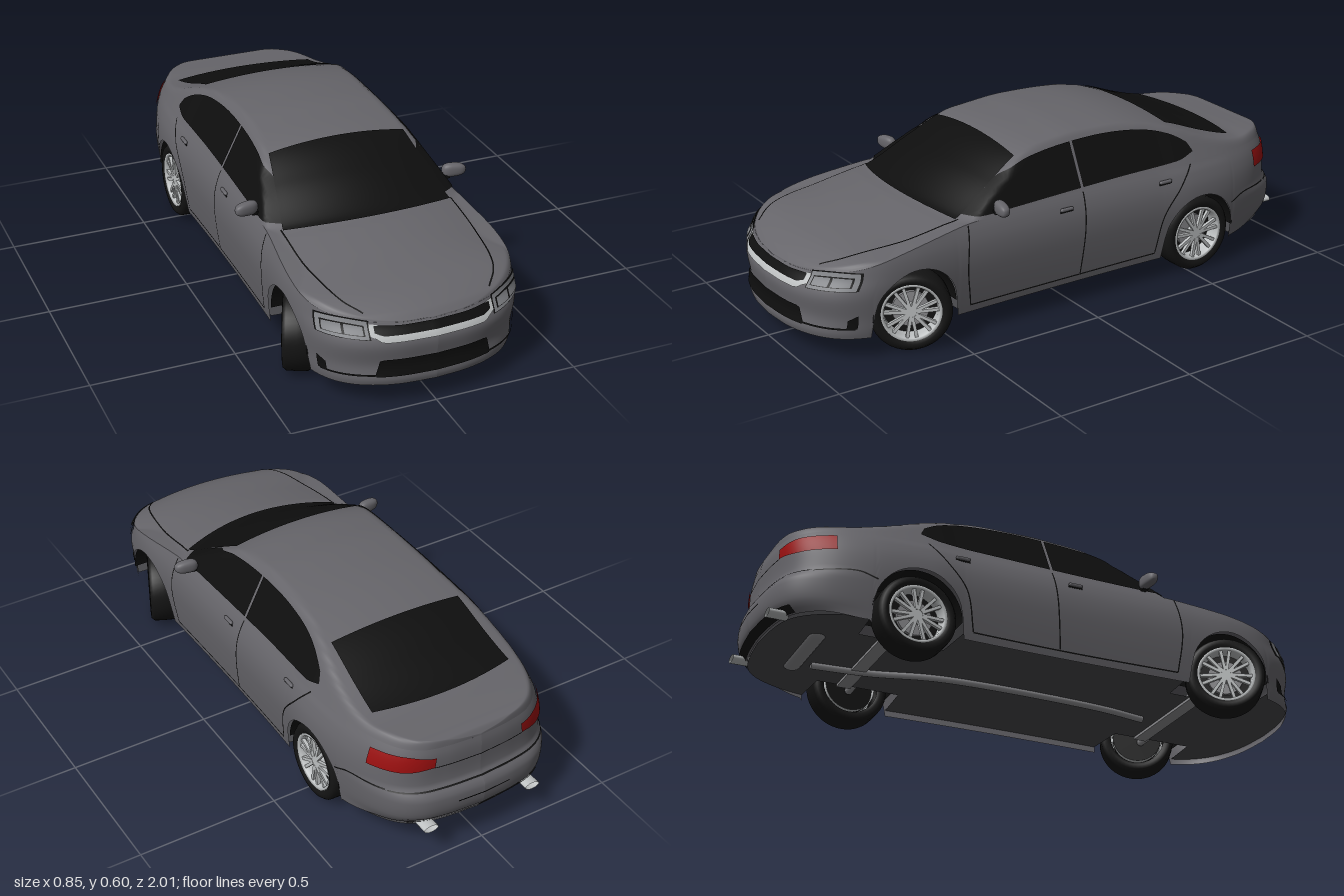
import * as THREE from 'three';

const paint = (name, color) => Object.assign(new THREE.MeshStandardMaterial({ color, side: THREE.DoubleSide }), { name });
const M = {
  body: paint('grey body paint', 0x66656a),
  black: paint('black glass and trim', 0x0e0e0e),
  tyre: paint('tyre rubber', 0x141414),
  silver: paint('silver alloy', 0xbfc2c3),
  lens: paint('headlamp lens', 0x85878b),
  red: paint('red tail lamp', 0x990f0f),
  under: paint('underbody grey', 0x48484b),
  metal: paint('chassis metal', 0x8d8d90),
};

// Smooth interpolation through [x, y] pairs sorted by x
const curve = (p) => {
  const n = p.length - 1;
  const slope = (i) => {
    const a = p[Math.max(0, i - 1)], b = p[Math.min(n, i + 1)];
    return (b[1] - a[1]) / (b[0] - a[0]);
  };
  return (x) => {
    if (x <= p[0][0]) return p[0][1];
    if (x >= p[n][0]) return p[n][1];
    let i = 0;
    while (x > p[i + 1][0]) i++;
    const d = p[i + 1][0] - p[i][0], t = (x - p[i][0]) / d, t2 = t * t, t3 = t2 * t;
    return (2 * t3 - 3 * t2 + 1) * p[i][1] + (t3 - 2 * t2 + t) * d * slope(i)
      + (3 * t2 - 2 * t3) * p[i + 1][1] + (t3 - t2) * d * slope(i + 1);
  };
};
const smooth = (t) => THREE.MathUtils.smoothstep(t, 0, 1);
const lerp = THREE.MathUtils.lerp;

// Plan outline of one half, nose to tail (x, z)
const plan = new THREE.CatmullRomCurve3([[0, 1], [0.12, 0.99], [0.2, 0.97], [0.265, 0.94], [0.315, 0.9], [0.35, 0.85],
  [0.375, 0.78], [0.388, 0.65], [0.381, 0.45], [0.375, 0], [0.38, -0.35], [0.388, -0.5], [0.37, -0.7], [0.33, -0.85],
  [0.28, -0.93], [0.22, -0.97], [0.13, -0.99], [0, -1]].map(([x, z]) => new THREE.Vector3(x, 0, z)))
  .getSpacedPoints(260);
const planX = curve(plan.map((p) => [p.z, p.x]).reverse());
const noseZ = curve(plan.filter((p) => p.z > 0.7).map((p) => [p.x, p.z]));
const tailZ = curve(plan.filter((p) => p.z < -0.6).map((p) => [p.x, p.z]).reverse());

// Shape rules: width by height, nose and tail set-back by height, shoulder and centre lines by length
const widthAt = curve([[0.07, 0.945], [0.12, 0.965], [0.2, 0.99], [0.27, 1], [0.33, 0.985], [0.38, 0.945], [0.41, 0.905], [0.44, 0.87]]);
const noseIn = curve([[0.08, 0.005], [0.1, 0], [0.15, 0.008], [0.22, 0], [0.25, 0.008], [0.295, 0.034], [0.4, 0.05]]);
const tailIn = curve([[0.11, 0.04], [0.15, 0.006], [0.235, 0.004], [0.258, 0.028], [0.38, 0.033], [0.43, 0.045]]);
const shoulderAt = curve([[-1, 0.405], [-0.93, 0.408], [-0.8, 0.412], [-0.5, 0.415], [0, 0.405], [0.4, 0.395], [0.5, 0.385],
  [0.7, 0.355], [0.85, 0.325], [0.95, 0.303], [1, 0.288]]);
const centreAt = curve([[-0.965, 0.405], [-0.945, 0.43], [-0.9, 0.436], [-0.85, 0.44], [-0.76, 0.45], [-0.61, 0.5],
  [-0.45, 0.557], [-0.29, 0.59], [-0.1, 0.6], [0, 0.596], [0.17, 0.572], [0.33, 0.503], [0.48, 0.424], [0.55, 0.412],
  [0.68, 0.39], [0.855, 0.352], [0.94, 0.315], [0.97, 0.288]]);
const FRONT = 0.64, REAR = -0.535, ARCH = 0.155, R = 0.137;
const sillAt = (z) => {
  let y = z < -0.7 ? lerp(0.09, 0.112, smooth((-z - 0.7) / 0.2)) : 0.08;
  for (const c of [FRONT, REAR]) {
    const d = Math.abs(z - c);
    if (d < ARCH) y = 0.138 + Math.sqrt(ARCH * ARCH - d * d);
  }
  return y;
};
const warp = (x, z, y) => [x * widthAt(y), y,
  z - noseIn(y) * smooth((z - 0.6) / 0.35) + tailIn(y) * smooth((-z - 0.6) / 0.35)];
const shoulder = plan.map((p) => warp(p.x, p.z, shoulderAt(p.z)));
const shoulderX = curve(shoulder.map((p) => [p[2], p[0]]).reverse());
const shoulderY = curve(shoulder.map((p) => [p[2], p[1]]).reverse());
const topY = (x, z) => {
  const ys = shoulderY(z), bow = 0.05 * (x / 0.3) ** 2 * smooth(z / 0.3);
  const side = ys + (shoulderX(z) - Math.abs(x)) / 0.5;
  const roof = centreAt(z + bow) - 0.25 * x * x * smooth((0.9 - Math.abs(z)) / 0.3);
  const k = 0.02, h = Math.max(k - Math.abs(side - roof), 0) / k;
  return Math.max(ys, Math.min(side, roof) - h * h * k / 4);
};

export function createModel() {
  const car = new THREE.Group();
  car.name = 'car';
  const add = (name, geo, mat, parent = car, pos = [0, 0, 0]) => {
    const m = new THREE.Mesh(geo, mat);
    m.name = name;
    m.position.set(...pos);
    parent.add(m);
    return m;
  };
  // Surface sheet from a rule f(u, v) -> [x, y, z]
  const sheet = (name, mat, nu, nv, f) => {
    const pos = [], idx = [];
    for (let i = 0; i <= nu; i++) for (let j = 0; j <= nv; j++) {
      pos.push(...f(i / nu, j / nv));
      if (i < nu && j < nv) {
        const a = i * (nv + 1) + j, b = a + nv + 1;
        idx.push(a, a + 1, b, b, a + 1, b + 1);
      }
    }
    const g = new THREE.BufferGeometry();
    g.setAttribute('position', new THREE.Float32BufferAttribute(pos, 3));
    g.setIndex(idx);
    g.computeVertexNormals();
    return add(name, g, mat);
  };
  // Thin panel on the nose (end = 1) or tail (end = -1)
  const endPanel = (name, mat, end, x0, x1, lo, hi, lift = 0.004) => sheet(name, mat, 28, 6, (u, v) => {
    const x = lerp(x0, x1, u), a = Math.abs(x);
    const p = warp(x, end > 0 ? noseZ(a) : tailZ(a), lerp(lo(a), hi(a), v));
    return [p[0] + lift * x / 0.35, p[1], p[2] + end * lift];
  });
  // Dark shut line following a path, placed by a mapping rule
  const seam = (name, pts, map) => {
    const c = new THREE.CatmullRomCurve3(pts.map(([a, b]) => new THREE.Vector3(a, b, 0)));
    sheet(name, M.black, 24, 1, (u, v) => {
      const p = c.getPoint(u), t = c.getTangent(u), w = (v - 0.5) * 0.005;
      return map(p.x - t.y * w, p.y + t.x * w);
    });
  };
  const flat = (y) => () => y;

  // Body shell: lower sides all round, then bonnet, roof and boot
  for (const s of [1, -1]) sheet('bodySide', M.body, 260, 20, (u, v) => {
    const p = plan[Math.round(u * 260)];
    const q = warp(p.x, p.z, lerp(sillAt(p.z), shoulderAt(p.z), v));
    return [s * q[0], q[1], q[2]];
  });
  sheet('bodyTop', M.body, 260, 48, (u, v) => {
    const q = shoulder[Math.round(u * 260)], x = q[0] * Math.sin((v - 0.5) * Math.PI);
    return [x, topY(x, q[2]), q[2]];
  });

  // Windscreen and rear window
  sheet('windscreen', M.black, 24, 30, (u, v) => {
    const x = (v * 2 - 1) * lerp(0.25, 0.305, u);
    const z = lerp(0.18, 0.505 - 0.055 * (x / 0.3) ** 2, u);
    return [x, topY(x, z) + 0.005, z];
  });
  sheet('rearWindow', M.black, 24, 30, (u, v) => {
    const x = (v * 2 - 1) * lerp(0.25, 0.267, u);
    const z = lerp(-0.458, -0.77 + 0.035 * (x / 0.27) ** 2, u);
    return [x, topY(x, z) + 0.005, z];
  });

  // Side windows
  const winTop = curve([[-0.52, 0.452], [-0.505, 0.48], [-0.42, 0.526], [-0.29, 0.555], [-0.1, 0.564], [0.14, 0.545], [0.25, 0.507], [0.34, 0.457], [0.42, 0.412]]);
  const winLow = curve([[-0.52, 0.447], [-0.45, 0.428], [-0.2, 0.42], [0.33, 0.406], [0.42, 0.408]]);
  const glassX = (z, y) => {
    let a = 0, b = shoulderX(z);
    for (let i = 0; i < 20; i++) { const m = (a + b) / 2; if (topY(m, z) > y) a = m; else b = m; }
    return a;
  };
  const onSide = (s) => (z, y) => {
    const p = warp(planX(z), z, y);
    return [s * (p[0] + 0.002), y, p[2]];
  };
  for (const s of [1, -1]) {
    for (const [z0, z1] of [[-0.52, -0.045], [-0.035, 0.42]]) sheet('sideWindow', M.black, 30, 8, (u, v) => {
      const z = lerp(z0, z1, u), y = lerp(winLow(z), winTop(z), v);
      return [s * (glassX(z, y) + 0.004), y + 0.001, z];
    });
    // Shut lines
    seam('frontDoorSeam', [[0.43, 0.39], [0.445, 0.25], [0.43, 0.11]], onSide(s));
    seam('middleDoorSeam', [[-0.04, 0.403], [-0.03, 0.25], [-0.02, 0.11]], onSide(s));
    seam('rearDoorSeam', [[-0.5, 0.41], [-0.44, 0.34], [-0.37, 0.25], [-0.34, 0.11]], onSide(s));
    seam('sillSeam', [[0.43, 0.108], [0, 0.106], [-0.34, 0.108]], onSide(s));
    seam('rearBumperSeam', [[-0.68, 0.23], [-0.75, 0.252], [-0.9, 0.252]], onSide(s));
    seam('bonnetSeam', [[0.31, 0.44], [0.305, 0.65], [0.27, 0.84], [0.22, 0.91]], (x, z) => [s * x, topY(x, z) + 0.003, z]);

    // Door handles
    for (const [z, y] of [[0.04, 0.362], [-0.38, 0.372]]) {
      const h = add('doorHandle', new THREE.CapsuleGeometry(0.007, 0.038, 4, 8).rotateX(Math.PI / 2), M.body, car,
        [s * (warp(planX(z), z, y)[0] + 0.004), y, z]);
      add('handleRecess', new THREE.BoxGeometry(0.006, 0.006, 0.052), M.black, h, [-s * 0.002, -0.008, 0]);
    }

    // Door mirror
    const shell = new THREE.SphereGeometry(1, 24, 16), p = shell.attributes.position;
    for (let i = 0; i < p.count; i++) {
      const [x, y, z] = [p.getX(i), p.getY(i), p.getZ(i)].map((c) => Math.sign(c) * Math.abs(c) ** 0.75);
      p.setXYZ(i, s * x * 0.042, y * (0.024 - 0.003 * x), z * 0.02 - x * -0.006);
    }
    shell.computeVertexNormals();
    add('mirrorShell', shell, M.body, car, [s * 0.383, 0.432, 0.315]);
    add('mirrorStalk', new THREE.BoxGeometry(0.04, 0.012, 0.02), M.black, car, [s * 0.345, 0.412, 0.315]);

    // Headlamps and bumper slots
    const low = (a) => 0.25 + 0.008 * (a - 0.21) / 0.14, high = (a) => 0.3 + 0.012 * Math.sin((a - 0.21) / 0.14 * 2);
    endPanel('headlampSurround', M.black, 1, s * 0.212, s * 0.352, (a) => low(a) - 0.003, (a) => high(a) + 0.003, 0.003);
    endPanel('headlampLens', M.lens, 1, s * 0.216, s * 0.348, low, high, 0.005);
    endPanel('headlampBezel', M.black, 1, s * 0.225, s * 0.338, (a) => low(a) + 0.01, (a) => high(a) - 0.012, 0.007);
    endPanel('innerLamp', M.lens, 1, s * 0.229, s * 0.28, (a) => low(a) + 0.013, (a) => high(a) - 0.015, 0.009);
    endPanel('outerLamp', M.lens, 1, s * 0.287, s * 0.334, (a) => low(a) + 0.013, (a) => high(a) - 0.015, 0.009);
    endPanel('slotLine', M.black, 1, s * 0.2, s * 0.35, flat(0.117), flat(0.123));
    endPanel('slotUpright', M.black, 1, s * 0.335, s * 0.353, flat(0.12), (a) => 0.15 + (a - 0.335));

    // Tail lamps and exhaust tips
    endPanel('tailLamp', M.red, -1, s * 0.17, s * 0.338, (a) => 0.338 - 0.01 * smooth((a - 0.17) / 0.1), (a) => 0.375 + 0.012 * smooth((a - 0.17) / 0.1));
    add('exhaustTip', new THREE.CylinderGeometry(0.016, 0.016, 0.07, 16, 1, true).rotateX(Math.PI / 2).scale(1.7, 0.8, 1), M.silver, car, [s * 0.2, 0.122, -0.96]);

    // Wheel wells
    for (const z of [FRONT, REAR]) {
      add('wheelWell', new THREE.CylinderGeometry(0.157, 0.157, 0.155, 32, 1, true, 0, Math.PI).rotateZ(Math.PI / 2), M.black, car, [s * 0.287, 0.138, z]);
      add('wheelWellWall', new THREE.CircleGeometry(0.157, 32, 0, Math.PI).rotateY(Math.PI / 2), M.black, car, [s * 0.21, 0.138, z]);
    }
  }

  // Grille, lower intake and rear trim
  endPanel('grilleFrame', M.silver, 1, -0.212, 0.212, (a) => 0.238 + 0.022 * smooth((a - 0.17) / 0.045), (a) => 0.283 + 0.01 * smooth((a - 0.15) / 0.06));
  endPanel('grille', M.black, 1, -0.197, 0.197, (a) => 0.26 + 0.01 * smooth((a - 0.17) / 0.03), (a) => 0.286 + 0.004 * smooth((a - 0.1) / 0.09), 0.007);
  endPanel('lowerIntake', M.black, 1, -0.203, 0.203, flat(0.114), (a) => 0.175 - 0.05 * smooth((a - 0.185) / 0.02));
  endPanel('diffuser', M.black, -1, -0.26, 0.26, flat(0.114), flat(0.138));
  endPanel('plateRecessLine', M.black, -1, -0.1, 0.1, flat(0.196), flat(0.2));
  endPanel('bumperLine', M.black, -1, -0.3, 0.3, flat(0.25), flat(0.254));
  endPanel('bootLipLine', M.black, -1, -0.17, 0.17, flat(0.336), flat(0.339));

  // Floor, cut back at the wheels
  const edge = plan.map((p) => {
    const q = warp(p.x, p.z, 0.113);
    const well = [FRONT, REAR].some((c) => Math.abs(p.z - c) < 0.157);
    return new THREE.Vector2(well ? Math.min(0.21, q[0]) : q[0] * 0.985, q[2]);
  });
  const outline = [...edge, ...edge.slice(1, -1).reverse().map((p) => new THREE.Vector2(-p.x, p.y))];
  add('floor', new THREE.ShapeGeometry(new THREE.Shape(outline)).rotateX(Math.PI / 2), M.under, car, [0, 0.102, 0]);

  // Exhaust and axles
  const pipe = new THREE.CatmullRomCurve3([[0.03, 0.5], [0, 0.3], [0, -0.3], [0.06, -0.55], [0.08, -0.75]].map(([x, z]) => new THREE.Vector3(x, 0.095, z)));
  add('exhaustPipe', new THREE.TubeGeometry(pipe, 40, 0.013, 10), M.metal);
  add('silencer', new THREE.CapsuleGeometry(0.032, 0.26, 6, 16).rotateZ(Math.PI / 2).scale(1, 0.7, 1), M.metal, car, [0, 0.112, -0.8]);
  for (const z of [FRONT, REAR]) {
    add('axle', new THREE.CylinderGeometry(0.014, 0.014, 0.6, 12).rotateZ(Math.PI / 2), M.metal, car, [0, 0.125, z]);
    add('subframe', new THREE.BoxGeometry(0.42, 0.025, 0.05), M.metal, car, [0, 0.105, z - 0.05]);
  }

  // Wheels; the front pair is steered
  const ring = (pts) => new THREE.LatheGeometry(pts.map(([r, y]) => new THREE.Vector2(r, y)), 48);
  const tyre = ring([[0.1, -0.043], [0.112, -0.05], [0.127, -0.048], [R, -0.036], [R + 0.001, 0], [R, 0.036], [0.127, 0.048], [0.112, 0.05], [0.1, 0.043]]);
  const rim = ring([[0.09, -0.04], [0.088, 0.025], [0.092, 0.043], [0.101, 0.046], [0.102, 0.04]]);
  for (const s of [1, -1]) for (const z of [FRONT, REAR]) {
    const steer = new THREE.Group(), wheel = new THREE.Group();
    steer.name = z === FRONT ? 'frontWheel' : 'rearWheel';
    wheel.name = 'wheel';
    steer.position.set(s * (z === FRONT ? 0.33 : 0.322), R + 0.001, z);
    steer.rotation.y = z === FRONT ? -0.42 : 0;
    wheel.rotation.z = -s * Math.PI / 2;
    steer.add(wheel);
    car.add(steer);
    add('tyre', tyre, M.tyre, wheel);
    add('rim', rim, M.silver, wheel);
    add('wheelBack', new THREE.CylinderGeometry(0.09, 0.09, 0.01, 32), M.tyre, wheel, [0, -0.01, 0]);
    add('brakeDisc', new THREE.CylinderGeometry(0.062, 0.062, 0.012, 32), M.metal, wheel, [0, 0.003, 0]);
    add('hub', new THREE.CylinderGeometry(0.02, 0.026, 0.026, 24), M.silver, wheel, [0, 0.026, 0]);
    for (let i = 0; i < 14; i++) {
      const a = (Math.floor(i / 2) + (i % 2 ? 0.19 : -0.19)) * Math.PI * 2 / 7;
      const spoke = add('spoke', new THREE.BoxGeometry(0.078, 0.012, 0.011).translate(0.056, 0, 0), M.silver, wheel, [0, 0.034, 0]);
      spoke.rotation.y = a;
    }
  }
  return car;
}
